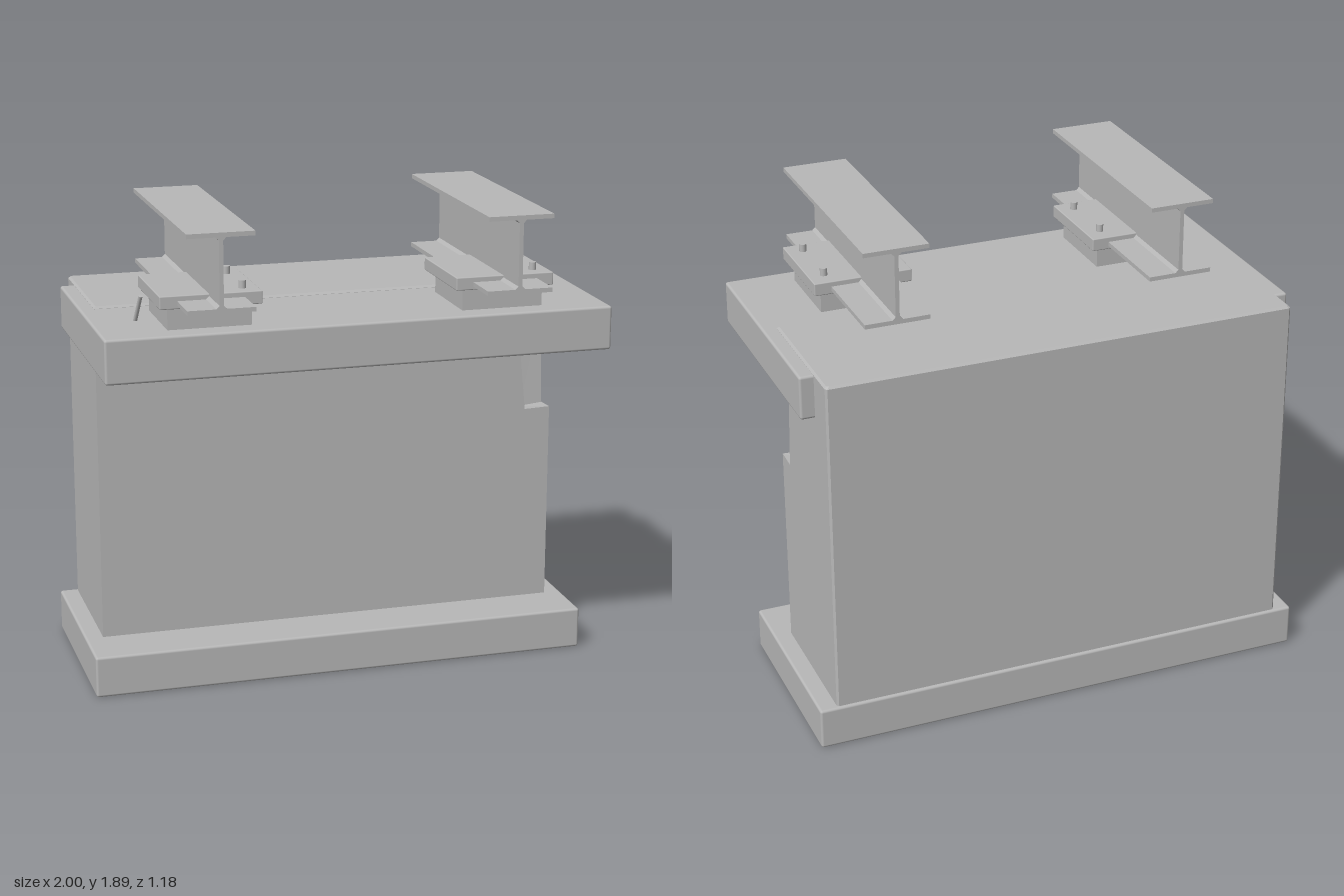
import * as THREE from 'three';
import { RoundedBoxGeometry } from 'three/addons/geometries/RoundedBoxGeometry.js';

const concrete = new THREE.MeshStandardMaterial({ color: 0xb8b8b8 });
concrete.name = 'plain grey';

function add(parent, name, geometry, x = 0, y = 0, z = 0) {
  const mesh = new THREE.Mesh(geometry, concrete);
  mesh.name = name;
  mesh.position.set(x, y, z);
  parent.add(mesh);
  return mesh;
}

// Box given by its limits on each axis, with softened edges when r > 0
function block(parent, name, [x0, x1], [y0, y1], [z0, z1], r = 0) {
  const size = [x1 - x0, y1 - y0, z1 - z0];
  const geometry = r ? new RoundedBoxGeometry(...size, 2, r) : new THREE.BoxGeometry(...size);
  return add(parent, name, geometry, (x0 + x1) / 2, (y0 + y1) / 2, (z0 + z1) / 2);
}

// Wall stem: stacked outlines, with a tapered notch in the front left corner
function wallGeometry() {
  const X = 0.93, F = -0.01, B = -0.578, c = 0.008;
  // nx, nz: where the notch meets the front and side; ix, iz: its inner corner
  const ring = (y, nx, nz, ix, iz, yi = y, inset = 0) => [
    [-X, y, F], [nx, y, F], [ix, yi, iz], [X, y, nz],
    [X, y, B + c], [X - c, y, B], [-X + c, y, B], [-X, y, B + c],
  ].map(([x, h, z]) => [
    x - Math.sign(x) * inset, h, z + (z > -0.3 ? -inset : inset),
  ]);
  const rings = [
    ring(0.15, 0.825, -0.1, X, F),
    ring(0.966, 0.825, -0.1, X, F, 0.97),
    ring(0.964, 0.825, -0.1, 0.835, -0.095, 0.956),
    ring(1.335, 0.788, -0.13, 0.805, -0.122),
    ring(1.337, 0.788, -0.13, X, F),
    ring(1.497, 0.788, -0.13, X, F),
    ring(1.505, 0.788, -0.13, X, F, 1.505, 0.008),
  ];
  const pos = [];
  const tri = (a, b, d) => pos.push(...a, ...b, ...d);
  const n = rings[0].length;
  for (let k = 0; k < rings.length - 1; k++) {
    for (let i = 0; i < n; i++) {
      const j = (i + 1) % n, lo = rings[k], hi = rings[k + 1];
      tri(lo[i], lo[j], hi[j]);
      tri(lo[i], hi[j], hi[i]);
    }
  }
  const top = rings[rings.length - 1];
  for (let i = 1; i < n - 1; i++) tri(top[0], top[i], top[i + 1]);
  const g = new THREE.BufferGeometry();
  g.setAttribute('position', new THREE.Float32BufferAttribute(pos, 3));
  g.computeVertexNormals();
  return g;
}

// I-beam section extruded along z, centred on x, standing on y = 0
function beamGeometry(width, height, flange, web, length) {
  const w = width / 2, t = web / 2, f = 0.012;
  const half = [
    [w, 0], [w, flange], [t + f, flange], [t, flange + f],
    [t, height - flange - f], [t + f, height - flange], [w, height - flange], [w, height],
  ];
  const mirrored = half.map(([x, y]) => [-x, y]).reverse();
  const shape = new THREE.Shape([...half, ...mirrored].map(([x, y]) => new THREE.Vector2(x, y)));
  return new THREE.ExtrudeGeometry(shape, { depth: length, bevelEnabled: false });
}

// Girder on its bearing: pad, clamp plate and two bolts on the +x side
function girderAssembly(name, x) {
  const group = new THREE.Group();
  group.name = name;
  group.position.x = x;
  add(group, 'girder', beamGeometry(0.255, 0.297, 0.017, 0.016, 0.932), 0, 1.593, -0.345);
  block(group, 'bearingPad', [-0.16, 0.16], [1.49, 1.575], [0.067, 0.393]);
  block(group, 'bearingPadUpper', [-0.15, 0.15], [1.57, 1.585], [0.077, 0.383]);
  block(group, 'clampPlate', [-0.194, 0.194], [1.58, 1.63], [0.032, 0.422], 0.004);
  for (const z of [0.105, 0.357]) {
    add(group, 'bolt', new THREE.CylinderGeometry(0.014, 0.014, 0.05, 16), 0.133, 1.635, z);
  }
  return group;
}

export function createModel() {
  const model = new THREE.Group();
  model.name = 'bridgeAbutment';

  block(model, 'footing', [-1, 1], [0, 0.165], [-0.59, 0.208], 0.01);
  add(model, 'wallStem', wallGeometry());
  block(model, 'bearingShelf', [-0.985, 0.985], [1.325, 1.496], [-0.445, 0.483], 0.01);
  model.add(girderAssembly('rightGirder', -0.572), girderAssembly('leftGirder', 0.57));

  // Small leaning rod on the shelf
  const foot = new THREE.Vector3(-0.817, 1.485, 0.205);
  const tip = new THREE.Vector3(-0.803, 1.6, 0.26);
  const path = new THREE.LineCurve3(foot, tip);
  const rod = add(model, 'leaningRod', new THREE.CylinderGeometry(0.008, 0.008, path.getLength(), 12));
  rod.position.copy(path.getPoint(0.5));
  rod.quaternion.setFromUnitVectors(new THREE.Vector3(0, 1, 0), path.getTangent(0.5));

  return model;
}
